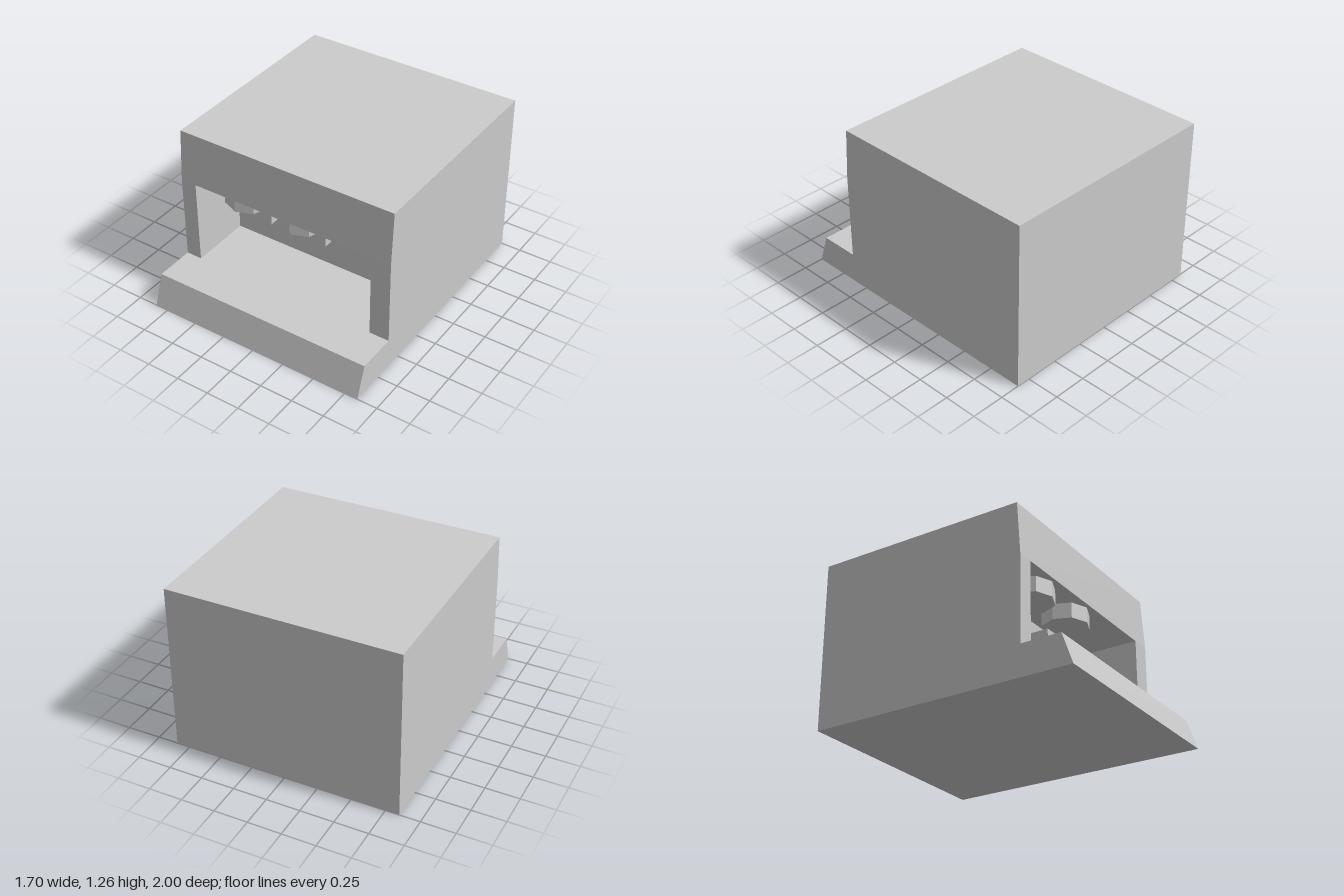
import * as THREE from 'three';

const material = new THREE.MeshStandardMaterial({ color: 0xcccccc, flatShading: true });

function addMesh(parent, name, geometry, x = 0, y = 0, z = 0) {
  const mesh = new THREE.Mesh(geometry, material);
  mesh.name = name;
  mesh.position.set(x, y, z);
  parent.add(mesh);
  return mesh;
}

// Extrudes a side profile of [z, y] points across the width from x0 to x1.
function profileSlab(points, x0, x1) {
  const shape = new THREE.Shape(points.map(([z, y]) => new THREE.Vector2(z, y)));
  const geometry = new THREE.ExtrudeGeometry(shape, { depth: x1 - x0, bevelEnabled: false });
  geometry.rotateY(-Math.PI / 2);
  geometry.translate(x1, 0, 0);
  return geometry;
}

// Brewing head: octagonal collar, square spout block and small nozzle.
function createBrewHead(x) {
  const head = new THREE.Group();
  head.name = 'brewHead';
  addMesh(head, 'collar', new THREE.CylinderGeometry(0.173, 0.173, 0.115, 8), x, 0.8125, 0.425);
  addMesh(head, 'spoutBlock', new THREE.BoxGeometry(0.167, 0.24, 0.16), x + 0.016, 0.635, 0.24);
  addMesh(head, 'nozzle', new THREE.CylinderGeometry(0.018, 0.018, 0.04, 8), x + 0.01, 0.5, 0.265);
  return head;
}

export function createModel() {
  const model = new THREE.Group();
  model.name = 'coffeeMachine';

  const halfWidth = 0.85;
  const alcove = { left: 0.70, right: -0.73, floor: 0.23, ceiling: 0.87, back: 0.16 };

  // Shared outline: sloped tray lip below, slightly leaning fascia above.
  const base = [[-1, 0], [1, 0], [0.92, alcove.floor]];
  const fascia = [[0.625, alcove.ceiling], [0.60, 1.26], [-1, 1.26]];
  const solid = [...base, [0.625, alcove.floor], ...fascia];
  const hollow = [...base, [alcove.back, alcove.floor], [alcove.back, alcove.ceiling], ...fascia];

  // Body: solid cheeks on both sides of the open alcove.
  addMesh(model, 'rightCheek', profileSlab(solid, -halfWidth, alcove.right));
  addMesh(model, 'alcoveBody', profileSlab(hollow, alcove.right, alcove.left));
  addMesh(model, 'leftCheek', profileSlab(solid, alcove.left, halfWidth));

  // Two brewing heads under the alcove ceiling.
  for (const x of [-0.417, 0.042]) model.add(createBrewHead(x));

  return model;
}
